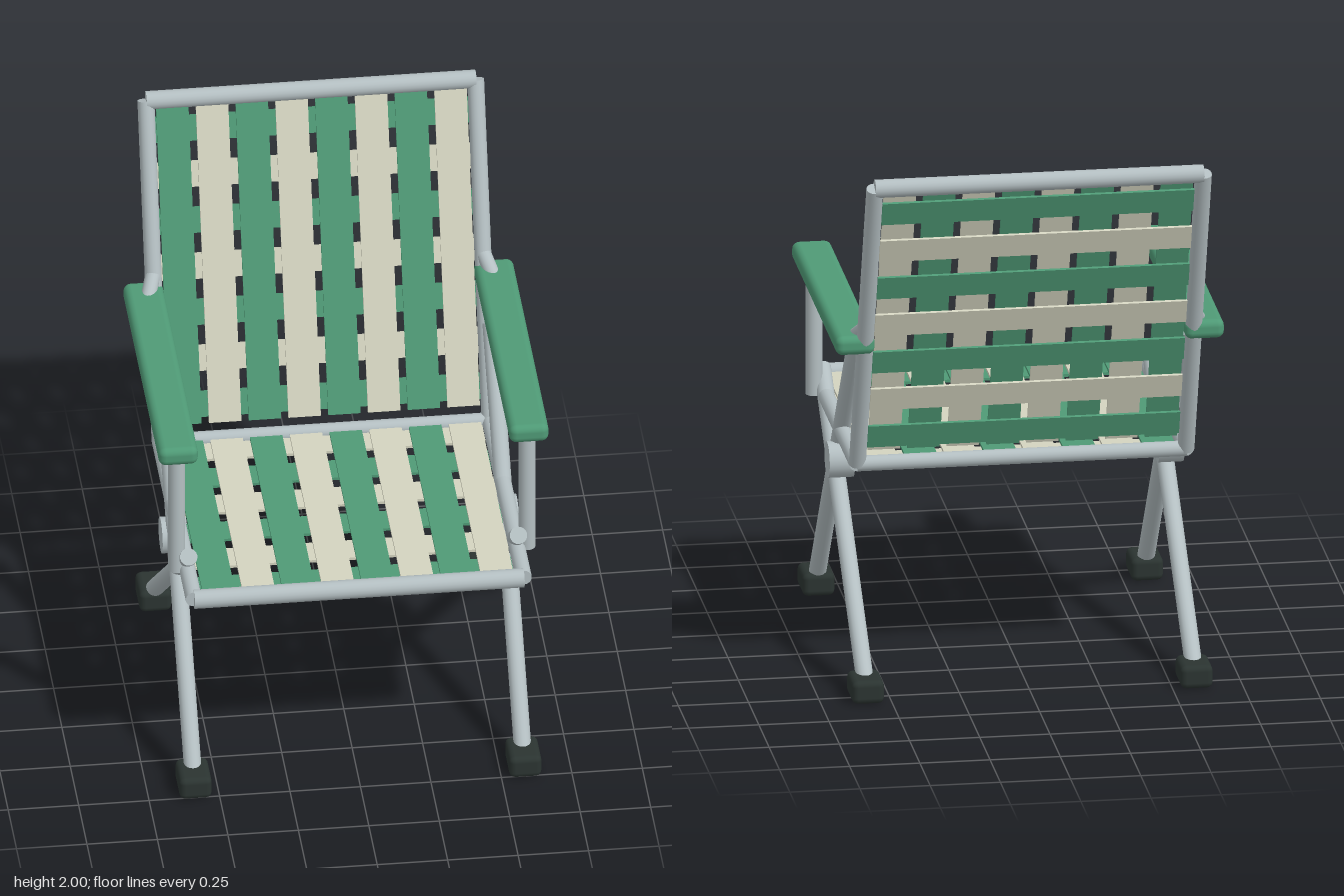
import * as THREE from 'three';
import { RoundedBoxGeometry } from 'three/addons/geometries/RoundedBoxGeometry.js';

const mat = (name, color) => Object.assign(new THREE.MeshStandardMaterial({ color }), { name });

export function createModel() {
  const metal = mat('aluminium', 0xb4bfc2);
  const green = mat('green', 0x4f9a76);
  const cream = mat('cream', 0xd3d3bf);
  const rubber = mat('black rubber', 0x2b3431);

  const chair = new THREE.Group();
  chair.name = 'foldingChair';

  const add = (parent, name, geometry, material, x = 0, y = 0, z = 0) => {
    const mesh = new THREE.Mesh(geometry, material);
    mesh.name = name;
    mesh.position.set(x, y, z);
    parent.add(mesh);
    return mesh;
  };

  // Straight tube between two points
  const tube = (name, a, b, r) => {
    const p = new THREE.Vector3(...a), q = new THREE.Vector3(...b);
    const dir = q.clone().sub(p);
    const mesh = add(chair, name, new THREE.CylinderGeometry(r, r, dir.length(), 18), metal);
    mesh.position.copy(p).add(q).multiplyScalar(0.5);
    mesh.quaternion.setFromUnitVectors(new THREE.Vector3(0, 1, 0), dir.normalize());
  };

  const X = 0.585;                 // side plane of the frame
  const seatY = 0.805, frontZ = 0.7, hingeZ = -0.312;
  const topY = 1.968, topZ = -0.737;

  // Rails running across the chair
  tube('seatFrontRail', [-X, seatY, frontZ], [X, seatY, frontZ], 0.034);
  tube('seatBackRail', [-X, seatY, hingeZ], [X, seatY, hingeZ], 0.028);
  tube('backTopRail', [-X, topY, topZ], [X, topY, topZ], 0.033);

  // Mirrored side parts
  for (const s of [-1, 1]) {
    const x = s * X;
    tube('seatSideRail', [x, seatY, frontZ], [x, seatY, hingeZ], 0.029);
    tube('backPost', [x, seatY, hingeZ], [x, topY, topZ], 0.03);
    tube('frontLeg', [x, 0.05, 0.68], [x, 1.24, -0.273], 0.031);
    tube('rearLeg', [x, 0.06, -0.5], [x, 0.882, 0.545], 0.031);
    tube('armPost', [s * 0.622, 0.8, 0.49], [s * 0.622, 1.3, 0.49], 0.03);
    tube('armBracket', [x, 1.38, -0.52], [s * 0.62, 1.31, -0.42], 0.027);

    // Pivot drum lying across the side plane
    const pivot = add(chair, 'pivot', new THREE.CylinderGeometry(0.065, 0.065, 0.09, 24), metal, s * 0.587, 0.685, 0.1);
    pivot.rotation.z = Math.PI / 2;

    add(chair, 'armrest', new RoundedBoxGeometry(0.14, 0.07, 1.095, 3, 0.026), green, s * 0.622, 1.313, 0.018);
    for (const z of [0.69, -0.512])
      add(chair, 'foot', new RoundedBoxGeometry(0.115, 0.085, 0.156, 2, 0.022), rubber, x, 0.0425, z);
  }

  // Webbing panel: long straps on the upper face (+y), cross straps beneath; length runs along z
  const webbing = (name, length, centre, crossCentres, crossWidth) => {
    const panel = new THREE.Group();
    panel.name = name;
    for (let i = 0; i < 8; i++)
      add(panel, 'longStrap', new THREE.BoxGeometry(0.115, 0.01, length), i % 2 ? cream : green,
        (i - 3.5) * 0.141, 0.006, centre);
    crossCentres.forEach((z, i) =>
      add(panel, 'crossStrap', new THREE.BoxGeometry(1.11, 0.01, crossWidth), i % 2 ? cream : green, 0, -0.006, z));
    chair.add(panel);
    return panel;
  };

  // Seat webbing
  const seatCross = Array.from({ length: 6 }, (_, i) => 0.615 - i * 0.171);
  const seat = webbing('seatWebbing', 0.96, 0.19, seatCross, 0.112);
  seat.position.y = seatY;

  // Backrest webbing, tilted along the posts (local -z points up the back)
  const backCross = Array.from({ length: 7 }, (_, i) => -1.128 + i * 0.167);
  const back = webbing('backWebbing', 1.149, -0.633, backCross, 0.094);
  back.position.set(0, seatY, hingeZ);
  back.rotation.x = Math.atan2(topY - seatY, hingeZ - topZ);

  return chair;
}
